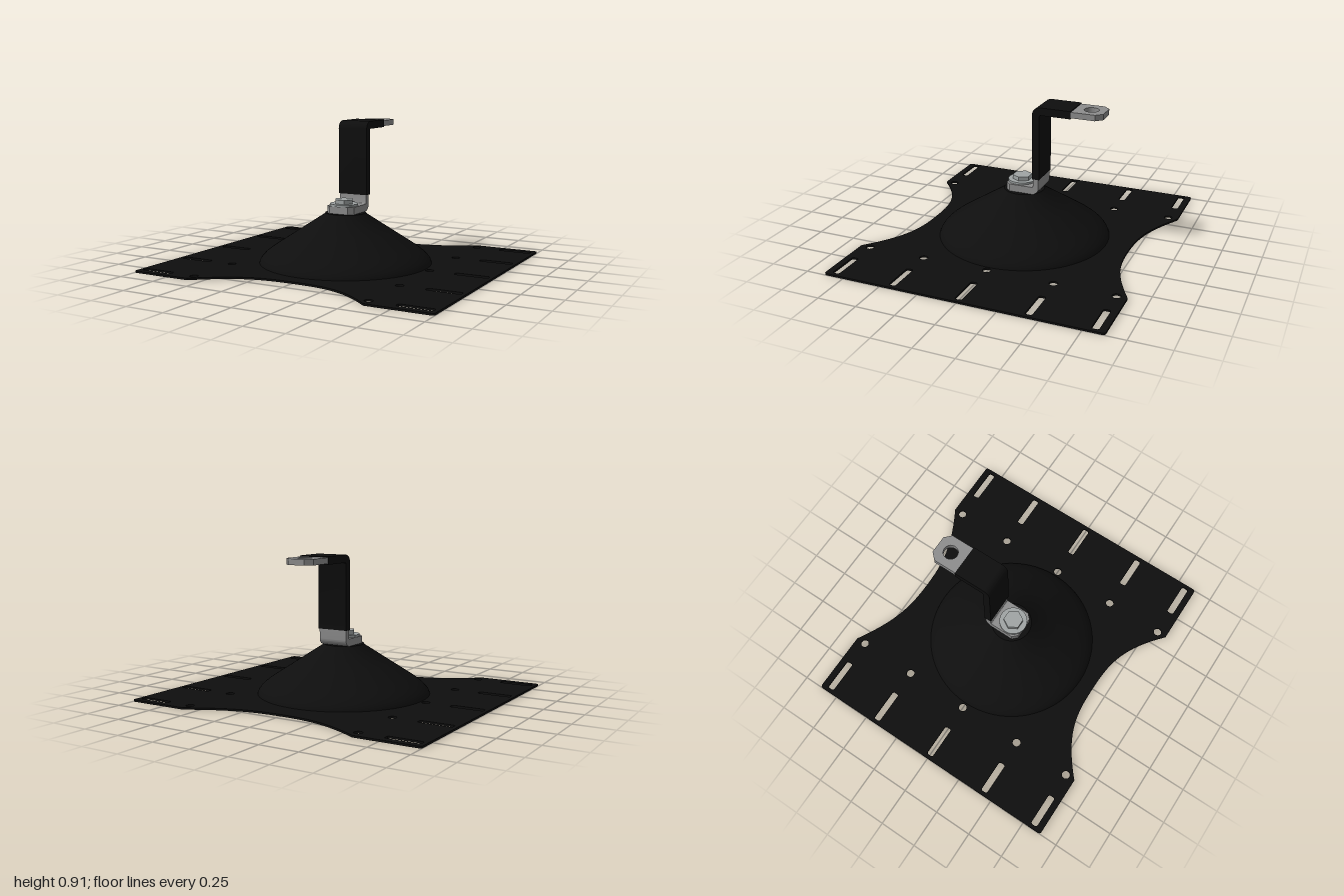
import * as THREE from 'three';
import { toCreasedNormals } from 'three/addons/utils/BufferGeometryUtils.js';

const mat = (name, color) => new THREE.MeshStandardMaterial({ name, color, side: THREE.DoubleSide });

// Plan outline (x, -z) extruded upwards from y
function planExtrude(shape, y, height) {
  const g = new THREE.ExtrudeGeometry(shape, { depth: height, bevelEnabled: false, curveSegments: 20 });
  g.rotateX(-Math.PI / 2).translate(0, y, 0);
  return toCreasedNormals(g, 0.5);
}

// Side profile (-z, y) extruded across x
function sideExtrude(shape, width) {
  const g = new THREE.ExtrudeGeometry(shape, { depth: width, bevelEnabled: false, curveSegments: 10 });
  g.rotateY(Math.PI / 2).translate(-width / 2, 0, 0);
  return toCreasedNormals(g, 0.5);
}

function circleHole(x, y, r) {
  const p = new THREE.Path();
  p.absarc(x, y, r, 0, Math.PI * 2, true);
  return p;
}

function slotHole(x0, x1, y, h) {
  const r = 0.014, p = new THREE.Path();
  p.absarc(x0 + r, y + h - r, r, Math.PI / 2, Math.PI, false);
  p.absarc(x0 + r, y - h + r, r, Math.PI, Math.PI * 1.5, false);
  p.absarc(x1 - r, y - h + r, r, Math.PI * 1.5, Math.PI * 2, false);
  p.absarc(x1 - r, y + h - r, r, 0, Math.PI / 2, false);
  p.closePath();
  return p;
}

// Plate with waisted front and back edges, slots and bolt holes
function plateShape() {
  const s = new THREE.Shape(), c = 0.02;
  s.moveTo(-1 + c, -0.88);
  s.lineTo(-0.59, -0.88);
  s.bezierCurveTo(-0.35, -0.665, -0.2, -0.655, 0, -0.655);
  s.bezierCurveTo(0.2, -0.655, 0.35, -0.665, 0.59, -0.88);
  s.lineTo(1 - c, -0.88);
  s.quadraticCurveTo(1, -0.88, 1, -0.88 + c);
  s.lineTo(1, 0.88 - c);
  s.quadraticCurveTo(1, 0.88, 1 - c, 0.88);
  s.lineTo(0.59, 0.88);
  s.bezierCurveTo(0.34, 0.735, 0.2, 0.71, 0, 0.71);
  s.bezierCurveTo(-0.2, 0.71, -0.34, 0.735, -0.59, 0.88);
  s.lineTo(-1 + c, 0.88);
  s.quadraticCurveTo(-1, 0.88, -1, 0.88 - c);
  s.lineTo(-1, -0.88 + c);
  s.quadraticCurveTo(-1, -0.88, -1 + c, -0.88);
  for (const y of [-0.815, -0.43, 0, 0.43, 0.815]) {
    s.holes.push(slotHole(0.757, 0.975, y, 0.022), slotHole(-0.975, -0.757, y, 0.022));
    s.holes.push(circleHole(0.59, y, 0.026), circleHole(-0.59, y, 0.026));
  }
  const ring = new THREE.Path();
  ring.setFromPoints(new THREE.EllipseCurve(0, 0, 0.553, 0.553, 0, Math.PI * 2, true).getPoints(72));
  s.holes.push(ring);
  return s;
}

// Tab with two clipped corners at one end (end = y of the clipped edge)
function tabShape(w, start, end, c, hole) {
  const k = Math.sign(end - start) * c;
  const pts = [[-w, start], [w, start], [w, end - k], [w - c, end], [-w + c, end], [-w, end - k]];
  const s = new THREE.Shape(pts.map(([x, y]) => new THREE.Vector2(x, y)));
  if (hole) s.holes.push(circleHole(0, hole[0], hole[1]));
  return s;
}

export function createModel() {
  const black = mat('black coating', 0x0e0e0e);
  const steel = mat('bare steel', 0x8e8e8e);
  const zinc = mat('bolt zinc', 0xa0a5a5);
  const model = new THREE.Group();
  model.name = 'mountingBracket';
  const add = (name, geometry, material) => {
    const m = new THREE.Mesh(geometry, material);
    m.name = name;
    model.add(m);
    return m;
  };

  add('basePlate', planExtrude(plateShape(), 0, 0.012), black);

  // Hollow pressed cone
  const profile = [[0.556, 0], [0.555, 0.012], [0.548, 0.03], [0.535, 0.048], [0.51, 0.072], [0.48, 0.095],
    [0.44, 0.122], [0.3, 0.213], [0.135, 0.321], [0.13, 0.33], [0, 0.33]];
  const cone = new THREE.LatheGeometry(profile.map(([r, y]) => new THREE.Vector2(r, y)), 72);
  add('cone', toCreasedNormals(cone, 0.5), black);

  // Steel foot with its bend up into the sleeve
  add('foot', planExtrude(tabShape(0.097, 0.08, -0.095, 0.03), 0.322, 0.055), steel);
  const bend = new THREE.Shape();
  bend.moveTo(0.07, 0.322);
  bend.lineTo(0.085, 0.33);
  bend.absarc(0.088, 0.375, 0.045, -Math.PI / 2, 0, false);
  bend.lineTo(0.133, 0.45);
  bend.lineTo(0.097, 0.45);
  bend.lineTo(0.097, 0.387);
  bend.absarc(0.087, 0.387, 0.01, 0, -Math.PI / 2, true);
  bend.lineTo(0.07, 0.377);
  add('footBend', sideExtrude(bend, 0.194), steel);

  // Coated sleeve running up and then backwards
  const sleeve = new THREE.Shape();
  sleeve.moveTo(0.092, 0.435);
  sleeve.lineTo(0.139, 0.435);
  sleeve.lineTo(0.139, 0.85);
  sleeve.absarc(0.149, 0.85, 0.01, Math.PI, Math.PI / 2, true);
  sleeve.lineTo(0.34, 0.86);
  sleeve.lineTo(0.34, 0.909);
  sleeve.lineTo(0.142, 0.909);
  sleeve.absarc(0.142, 0.859, 0.05, Math.PI / 2, Math.PI, false);
  add('sleeve', sideExtrude(sleeve, 0.204), black);

  // Terminal tab with eyelet
  add('tip', planExtrude(tabShape(0.097, 0.32, 0.533, 0.04, [0.44, 0.046]), 0.866, 0.037), steel);

  // Washer and hex bolt
  const washer = add('washer', new THREE.CylinderGeometry(0.09, 0.09, 0.014, 40), zinc);
  washer.position.set(-0.003, 0.383, 0.016);
  const head = add('boltHead', toCreasedNormals(new THREE.CylinderGeometry(0.063, 0.063, 0.028, 6), 0.5), zinc);
  head.rotation.y = Math.PI / 6;
  head.position.set(-0.003, 0.403, 0.016);

  return model;
}
